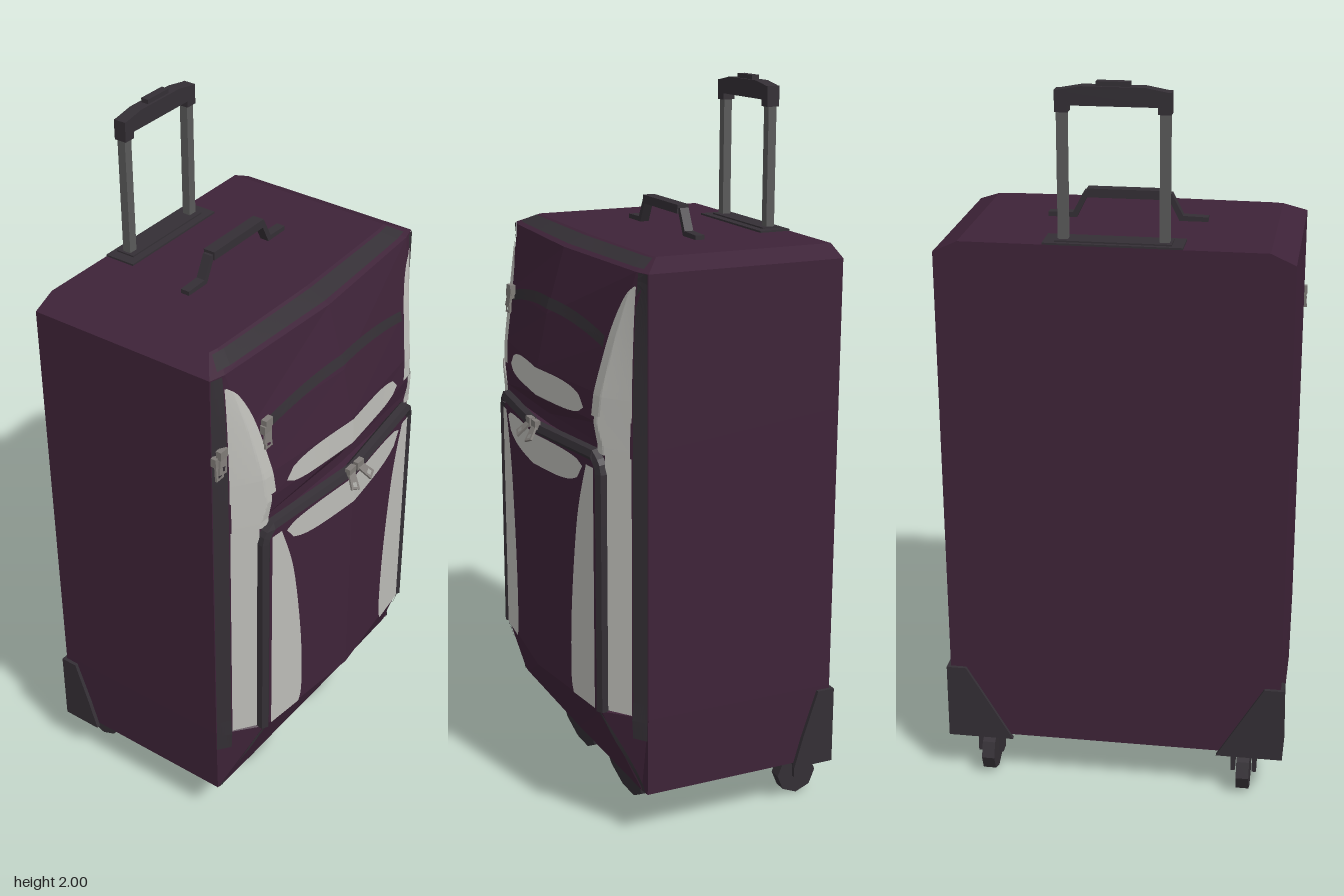
import * as THREE from 'three';

const mat = (name, color, side = THREE.FrontSide) => {
  const m = new THREE.MeshStandardMaterial({ color, side });
  m.name = name;
  return m;
};

export function createModel() {
  const root = new THREE.Group();
  root.name = 'suitcase';
  const plum = mat('plum fabric', 0x3e2338);
  const dark = mat('dark trim', 0x342f35);
  const pale = mat('pale grey panel', 0xbdbdb8, THREE.DoubleSide);
  const steel = mat('grey metal', 0x5a5a5a);
  const silver = mat('zip pull metal', 0x807c78);

  const add = (name, geo, material, x = 0, y = 0, z = 0) => {
    const g = geo.index ? geo.toNonIndexed() : geo;
    g.computeVertexNormals(); // faceted
    const m = new THREE.Mesh(g, material);
    m.name = name;
    m.position.set(x, y, z);
    root.add(m);
    return m;
  };
  const box = (name, w, h, d, material, x, y, z) => add(name, new THREE.BoxGeometry(w, h, d), material, x, y, z);
  const prism = (pts, depth) => new THREE.ExtrudeGeometry(
    new THREE.Shape(pts.map(p => new THREE.Vector2(...p))), { depth, bevelEnabled: false });

  // Shell rows: y, edge x, edge z, shoulder x, shoulder z, centre z
  const rows = [
    [0.14, 0.462, 0.2, 0.43, 0.203, 0.207],
    [0.36, 0.465, 0.2, 0.36, 0.29, 0.33],
    [0.365, 0.465, 0.2, 0.365, 0.275, 0.295],
    [1.1, 0.465, 0.2, 0.365, 0.275, 0.285],
    [1.16, 0.465, 0.2, 0.35, 0.285, 0.322],
    [1.235, 0.465, 0.2, 0.355, 0.28, 0.32],
    [1.38, 0.465, 0.2, 0.38, 0.252, 0.29],
    [1.56, 0.465, 0.2, 0.42, 0.213, 0.237],
    [1.59, 0.4, 0.15, 0.37, 0.155, 0.165],
  ];
  const back = -0.355;
  const rings = rows.map(([y, xe, ze, xs, zs, zc]) => [
    [xe, y, back], [xe, y, ze], [xs, y, zs], [0, y, zc], [-xs, y, zs], [-xe, y, ze], [-xe, y, back]]);
  const tris = [];
  rings.slice(1).forEach((up, r) => {
    const lo = rings[r];
    for (let i = 0; i < 7; i++) {
      const j = (i + 1) % 7;
      tris.push(lo[i], up[i], lo[j], lo[j], up[i], up[j]);
    }
  });
  const top = rings[rings.length - 1], bottom = rings[0];
  for (let i = 1; i < 6; i++) tris.push(top[0], top[i + 1], top[i], bottom[0], bottom[i], bottom[i + 1]);
  const shell = new THREE.BufferGeometry();
  shell.setAttribute('position', new THREE.Float32BufferAttribute(tris.flat(), 3));
  add('shell', shell, plum);

  // Depth of the shell front at (x, y), and of the pocket front at x
  const front = (x, y) => {
    let i = 0;
    while (i < rows.length - 2 && y > rows[i + 1][0]) i++;
    const t = (y - rows[i][0]) / (rows[i + 1][0] - rows[i][0]);
    const [, xe, ze, xs, zs, zc] = rows[i].map((v, k) => v + (rows[i + 1][k] - v) * t);
    const a = Math.abs(x);
    return a < xs ? zc + (zs - zc) * a / xs : zs + (ze - zs) * (a - xs) / (xe - xs);
  };
  const pocketFront = x => 0.333 - 0.04 * Math.abs(x) / 0.35;

  // Thin panel laid on a surface; at(u, v) gives x, y
  const patch = (name, material, at, surface, lift = 0.005) => {
    const g = new THREE.PlaneGeometry(1, 1, 20, 24), p = g.attributes.position;
    for (let i = 0; i < p.count; i++) {
      const [x, y] = at(p.getX(i) + 0.5, p.getY(i) + 0.5);
      p.setXYZ(i, x, y, surface(x, y) + lift);
    }
    add(name, g, material);
  };
  const patchPair = (name, material, at, surface, lift) => {
    patch(name, material, at, surface, lift);
    patch(name, material, (u, v) => { const [x, y] = at(1 - u, v); return [-x, y]; }, surface, lift);
  };
  const curve = pts => {
    const c = new THREE.SplineCurve(pts.map(p => new THREE.Vector2(...p)));
    return t => c.getPoint(t);
  };

  // Front pocket with its zip piping
  const pocket = prism([[-0.35, -0.293], [0, -0.333], [0.35, -0.293], [0.35, -0.2], [-0.35, -0.2]], 0.71);
  pocket.rotateX(-Math.PI / 2);
  add('frontPocket', pocket, plum, 0, 0.36, 0);
  const pipe = new THREE.CurvePath();
  const pipePts = [[-0.355, 0.36, 0.283], [-0.355, 1.04, 0.283], [-0.335, 1.072, 0.288], [0, 1.065, 0.322],
    [0.335, 1.072, 0.288], [0.355, 1.04, 0.283], [0.355, 0.36, 0.283]].map(p => new THREE.Vector3(...p));
  pipePts.slice(1).forEach((p, i) => pipe.add(new THREE.LineCurve3(pipePts[i], p)));
  add('pocketPiping', new THREE.TubeGeometry(pipe, 120, 0.019, 6), dark);

  // Pale panels
  const inner = curve([[0.22, 0.362], [0.208, 0.42], [0.215, 0.62], [0.25, 0.88], [0.3, 1.04]]);
  patchPair('pocketSidePanel', pale, (u, v) => {
    const p = inner(v);
    return [p.x + (0.337 - p.x) * u, p.y];
  }, pocketFront);
  patchPair('lowerSidePanel', pale, (u, v) => [0.367 + 0.063 * u, 0.365 + 0.715 * v], front);
  patchPair('sideStrap', pale, (u, v) => [0.335 + 0.095 * u, 1.08 + 0.1 * v], front, 0.009);
  const upper = curve([[0.313, 1.175], [0.325, 1.27], [0.355, 1.41], [0.39, 1.49], [0.424, 1.525]]);
  patchPair('upperSidePanel', pale, (u, v) => {
    const p = upper(v);
    return [p.x + (0.43 - p.x) * u, p.y];
  }, front);
  const bow = u => Math.sqrt(Math.max(0, 1 - (2 * u - 1) ** 4));
  patch('upperCentrePanel', pale, (u, v) => {
    const x = 0.54 * (u - 0.5);
    return [x, 1.185 + bow(u) * (v * 0.05 - (1 - v) * 0.028)];
  }, front);
  patch('lowerCentrePanel', pale, (u, v) => {
    const x = 0.56 * (u - 0.5);
    return [x, 1.03 + bow(u) * (v * 0.022 - (1 - v) * 0.065)];
  }, pocketFront);

  // Dark edge trim, upper zip and top band
  patchPair('edgeTrim', dark, (u, v) => [0.432 + 0.034 * u, 0.3 + 1.26 * v], front, 0.004);
  patchPair('lowerCornerPiping', dark, (u, v) => [0.458 - 0.095 * v - 0.012 * (1 - u), 0.145 + 0.21 * v], front, 0.004);
  patch('upperZip', dark, (u, v) => {
    const x = 0.66 * (u - 0.5);
    return [x, 1.355 + 0.04 * (1 - (x / 0.33) ** 2) + 0.03 * v];
  }, front);
  patch('topBand', dark, (u, v) => [(u - 0.5) * (0.86 - 0.06 * v), 1.568 + 0.02 * v], front, 0.006);

  // Zip pulls: slider block and pierced tab
  const zipPull = (x, y, z, turn, tilt) => {
    const s = new THREE.Shape([[-0.012, 0], [0.012, 0], [0.015, -0.05], [-0.015, -0.05]].map(p => new THREE.Vector2(...p)));
    s.holes.push(new THREE.Path([[-0.007, -0.03], [0.007, -0.03], [0.007, -0.043], [-0.007, -0.043]].map(p => new THREE.Vector2(...p))));
    const g = new THREE.ExtrudeGeometry(s, { depth: 0.006, bevelEnabled: false });
    add('zipPull', g, silver, x, y, z).rotation.set(tilt, 0, turn);
    box('zipSlider', 0.03, 0.025, 0.016, silver, x, y + 0.005, z);
  };
  for (const s of [-1, 1]) zipPull(s * 0.02, 1.075, 0.335, s * 0.45, -0.7);
  zipPull(-0.33, 1.37, 0.272, 0, -0.1);
  zipPull(-0.325, 1.385, 0.272, -0.2, -0.1);
  zipPull(-0.448, 1.34, 0.222, -0.2, -0.1);
  zipPull(-0.458, 1.32, 0.213, 0, -0.1);

  // Telescopic handle
  box('handleSocket', 0.36, 0.008, 0.09, dark, 0, 1.591, -0.31);
  box('handleSocketInset', 0.3, 0.006, 0.055, dark, 0, 1.596, -0.315);
  for (const s of [-1, 1]) {
    box('handlePole', 0.026, 0.4, 0.024, steel, s * 0.13, 1.75, -0.315);
    box('gripCorner', 0.034, 0.055, 0.036, dark, s * 0.129, 1.95, -0.315);
  }
  add('grip', prism([[-0.146, 1.94], [0.146, 1.94], [0.146, 1.976], [0.08, 1.988], [-0.08, 1.988], [-0.146, 1.976]], 0.036),
    dark, 0, 0, -0.333);
  box('gripButton', 0.085, 0.014, 0.022, dark, 0, 1.993, -0.315);

  // Top carry handle
  const strap = [[-0.215, 1.59], [-0.215, 1.602], [-0.148, 1.604], [-0.118, 1.662], [0.118, 1.662], [0.148, 1.604],
    [0.215, 1.602], [0.215, 1.59], [0.138, 1.59], [0.108, 1.65], [-0.108, 1.65], [-0.138, 1.59]];
  add('carryStrap', prism(strap, 0.026), dark, 0, 0, -0.078);
  box('carryGrip', 0.22, 0.024, 0.034, dark, 0, 1.658, -0.065);

  for (const s of [-1, 1]) {
    // Rear corner guards
    const side = prism([[0.245, 0.13], [0.365, 0.13], [0.365, 0.35], [0.315, 0.35], [0.27, 0.215]], 0.012);
    side.rotateY(Math.PI / 2);
    add('cornerGuardSide', side, dark, s > 0 ? 0.463 : -0.475, 0, 0);
    add('cornerGuardBack', prism([[0.29, 0.13], [0.475, 0.13], [0.475, 0.35], [0.42, 0.35], [0.34, 0.215]]
      .map(([x, y]) => [s * x, y]), 0.012), dark, 0, 0, -0.365);
    box('cornerGuardBase', 0.145, 0.014, 0.11, dark, s * 0.4, 0.136, -0.308);

    // Rear wheels in forks
    const wheel = new THREE.CylinderGeometry(0.06, 0.06, 0.036, 8);
    wheel.rotateZ(Math.PI / 2);
    add('wheel', wheel, dark, s * 0.365, 0.06, -0.305);
    for (const k of [-1, 1]) {
      box('forkArm', 0.012, 0.075, 0.034, dark, s * 0.365 + k * 0.03, 0.095, -0.305);
    }
    box('forkTop', 0.06, 0.012, 0.04, dark, s * 0.365, 0.126, -0.305);

    // Front feet, tapering in depth toward the floor
    const foot = prism([[-0.13, 0.142], [-0.105, 0.045], [-0.04, 0.008], [0.04, 0.008], [0.105, 0.045], [0.13, 0.142]], 1);
    const p = foot.attributes.position;
    for (let i = 0; i < p.count; i++) p.setZ(i, (p.getZ(i) - 0.5) * (0.022 + 0.4 * p.getY(i)));
    add('frontFoot', foot, dark, s * 0.17, -0.008, 0.115);
  }
  return root;
}
